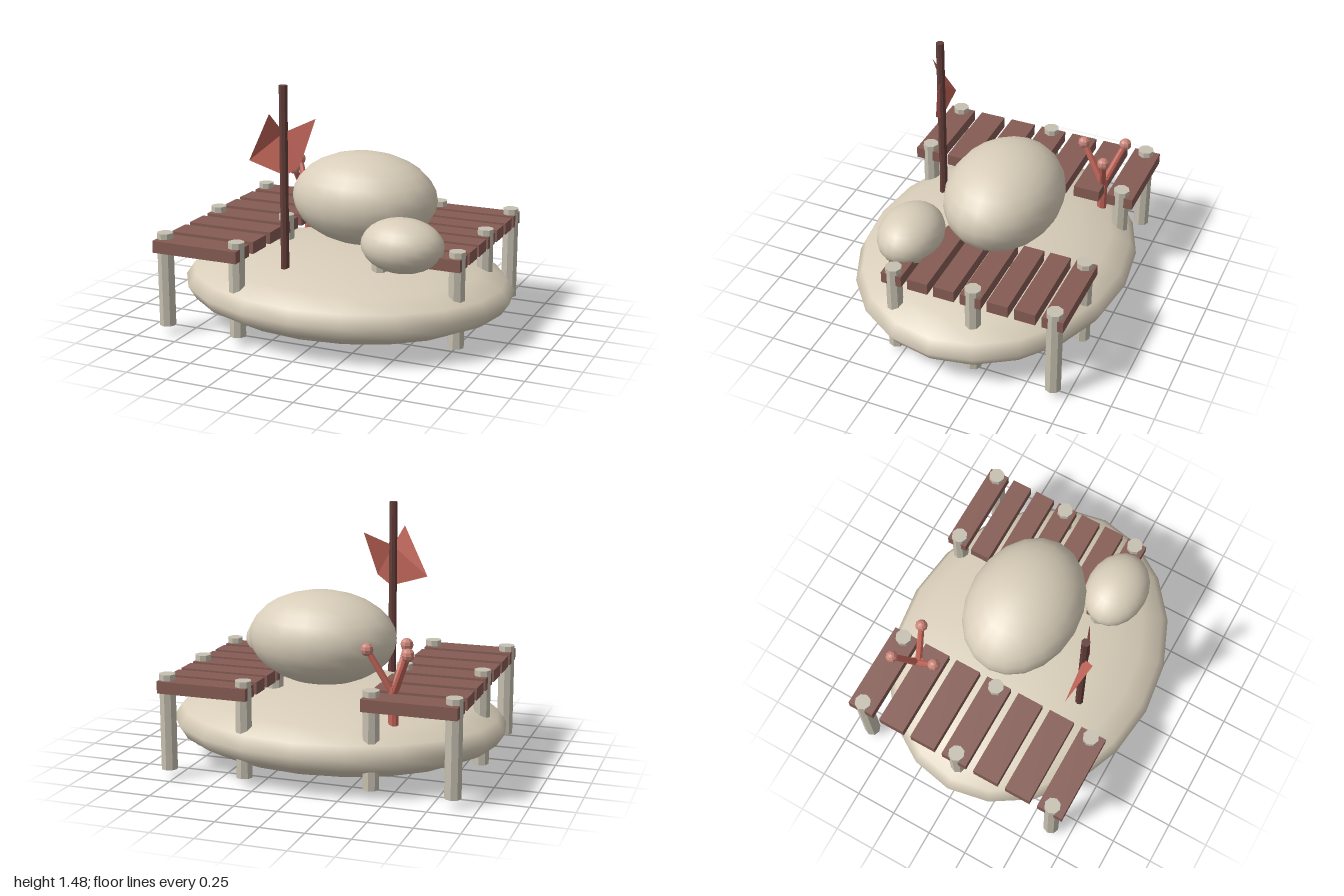
import * as THREE from 'three';

const mat = (name, color, extra = {}) => {
  const m = new THREE.MeshStandardMaterial({ color, ...extra });
  m.name = name;
  return m;
};

export function createModel() {
  const stone = mat('stone', 0xd8cdb9);
  const postWood = mat('paleWood', 0xc6c0b0, { flatShading: true });
  const plankWood = mat('plankWood', 0x855c54, { flatShading: true });
  const poleWood = mat('darkWood', 0x653f3a, { flatShading: true });
  const cloth = mat('redCloth', 0xc5675a, { flatShading: true, side: THREE.DoubleSide });
  const coral = mat('coral', 0xc4675b, { flatShading: true });
  const coralTip = mat('coralTip', 0xc98478, { flatShading: true });

  const model = new THREE.Group();
  model.name = 'islandWithDocks';

  const add = (parent, name, geometry, material, x = 0, y = 0, z = 0) => {
    const mesh = new THREE.Mesh(geometry, material);
    mesh.name = name;
    mesh.position.set(x, y, z);
    parent.add(mesh);
    return mesh;
  };

  // Stretched spheres for the island and its boulders
  const rock = (name, w, h, [rx, ry, rz], [x, y, z]) =>
    add(model, name, new THREE.SphereGeometry(1, w, h), stone, x, y, z).scale.set(rx, ry, rz);
  rock('island', 20, 10, [1, 0.237, 0.812], [0, 0.237, 0]);
  rock('largeBoulder', 20, 14, [0.44, 0.274, 0.338], [0.075, 0.741, -0.075]);
  rock('smallBoulder', 20, 14, [0.239, 0.154, 0.185], [0.478, 0.611, 0.334]);

  // Docks: seven planks on three pairs of posts
  const dock = (name, cx, z0, step, depth) => {
    const group = new THREE.Group();
    group.name = name;
    model.add(group);
    for (let i = 0; i < 7; i++) {
      const z = z0 + i * step;
      add(group, 'plank', new THREE.BoxGeometry(0.534, 0.07, depth), plankWood, cx, 0.537, z);
      if (i % 3 === 0) {
        for (const side of [-1, 1]) {
          add(group, 'post', new THREE.CylinderGeometry(0.048, 0.048, 0.555, 8), postWood,
            cx + side * 0.23, 0.328, z);
        }
      }
    }
  };
  dock('rightDock', -0.631, -0.63, 0.21, 0.16);
  dock('leftDock', 0.556, -0.668, 0.1603, 0.123);

  // Flagpole and torn two-winged flag
  add(model, 'flagPole', new THREE.CylinderGeometry(0.025, 0.025, 1.055, 8), poleWood, -0.19, 0.948, 0.445);
  const wing = (name, outerTop, outerLow) => {
    const g = new THREE.BufferGeometry();
    const top = [-0.19, 1.21, 0.445], low = [-0.18, 0.965, 0.445];
    g.setAttribute('position', new THREE.Float32BufferAttribute([...top, ...outerTop, ...outerLow, ...low], 3));
    g.setIndex([0, 1, 2, 0, 2, 3]);
    g.computeVertexNormals();
    add(model, name, g, cloth);
  };
  wing('flagRightWing', [-0.24, 1.325, 0.52], [-0.405, 1.033, 0.45]);
  wing('flagLeftWing', [-0.022, 1.29, 0.386], [-0.095, 1.03, 0.438]);

  // Coral: a short trunk with three ball-tipped branches
  const coralGroup = new THREE.Group();
  coralGroup.name = 'coral';
  model.add(coralGroup);
  add(coralGroup, 'coralTrunk', new THREE.CylinderGeometry(0.03, 0.03, 0.26, 8), coral, -0.482, 0.465, -0.483);
  const root = new THREE.Vector3(-0.482, 0.55, -0.483);
  for (const [x, z] of [[-0.588, -0.577], [-0.342, -0.524], [-0.513, -0.342]]) {
    const tip = new THREE.Vector3(x, 0.8, z);
    const dir = tip.clone().sub(root);
    const mid = root.clone().lerp(tip, 0.5);
    const branch = add(coralGroup, 'coralBranch', new THREE.CylinderGeometry(0.018, 0.022, dir.length(), 8),
      coral, mid.x, mid.y, mid.z);
    branch.quaternion.setFromUnitVectors(new THREE.Vector3(0, 1, 0), dir.normalize());
    add(coralGroup, 'coralTip', new THREE.SphereGeometry(0.037, 8, 6), coralTip, tip.x, tip.y, tip.z);
  }

  return model;
}
